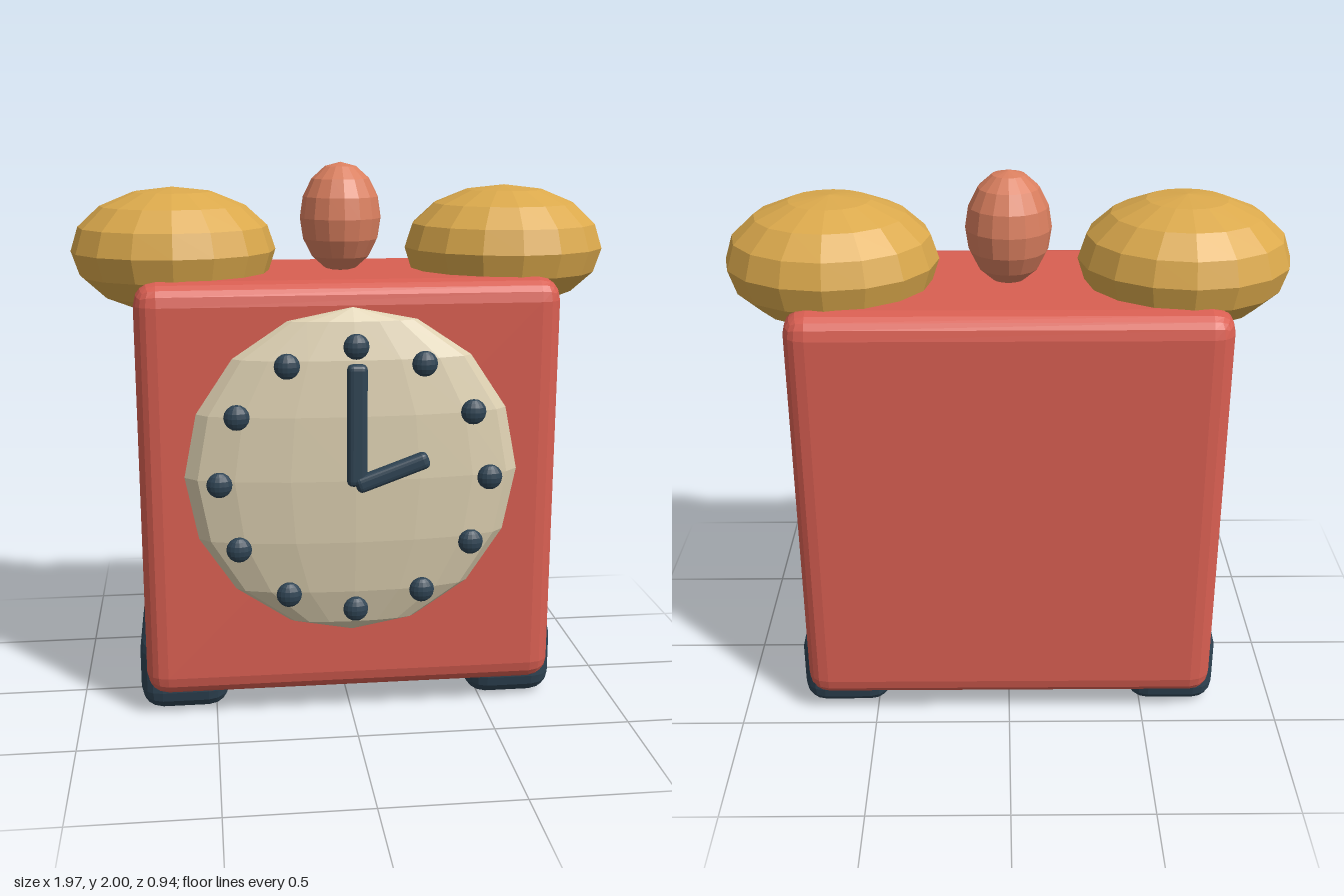
import * as THREE from 'three';
import { RoundedBoxGeometry } from 'three/addons/geometries/RoundedBoxGeometry.js';

const paint = (name, color) => new THREE.MeshStandardMaterial({ name, color, flatShading: true });

export function createModel() {
  const red = paint('red', 0xd95f52);
  const gold = paint('gold', 0xdba94c);
  const cream = paint('cream', 0xdccfb0);
  const slate = paint('slate', 0x2f4454);
  const copper = paint('copper', 0xda7f5f);

  const clock = new THREE.Group();
  clock.name = 'alarmClock';

  const add = (name, geometry, material, x, y, z) => {
    const mesh = new THREE.Mesh(geometry, material);
    mesh.name = name;
    mesh.position.set(x, y, z);
    clock.add(mesh);
    return mesh;
  };
  const ellipsoid = (rx, ry, rz) => new THREE.SphereGeometry(1, 16, 8).scale(rx, ry, rz);
  const block = (w, h, d, r) => new RoundedBoxGeometry(w, h, d, 2, r);

  const midZ = -0.083;

  // Case
  add('case', block(1.51, 1.525, 0.775, 0.08), red, 0, 0.8475, midZ);

  // Feet and bells, mirrored left and right
  for (const [side, s] of [['left', 1], ['right', -1]]) {
    add(side + 'Foot', block(0.33, 0.31, 0.65, 0.08), slate, s * 0.615, 0.155, midZ);
    add(side + 'Bell', ellipsoid(0.372, 0.228, 0.337), gold, s * 0.613, 1.687, midZ);
  }

  // Hammer between the bells
  add('hammer', ellipsoid(0.15, 0.2, 0.15), copper, 0, 1.8, midZ);

  // Domed dial
  const dialY = 0.93;
  add('dial', ellipsoid(0.595, 0.595, 0.112), cream, 0, dialY, 0.305);

  // Hour markers
  const dot = ellipsoid(0.045, 0.045, 0.03);
  for (let i = 0; i < 12; i++) {
    const a = (i * Math.PI) / 6;
    add('hourMarker' + (i + 1), dot, slate, Math.sin(a) * 0.475, dialY + Math.cos(a) * 0.475, 0.413);
  }

  // Hands
  add('minuteHand', block(0.07, 0.43, 0.05, 0.02), slate, 0, 1.135, 0.441);
  const hour = add('hourHand', block(0.27, 0.06, 0.05, 0.02), slate, 0.122, 0.968, 0.448);
  hour.rotation.z = THREE.MathUtils.degToRad(20);

  return clock;
}
